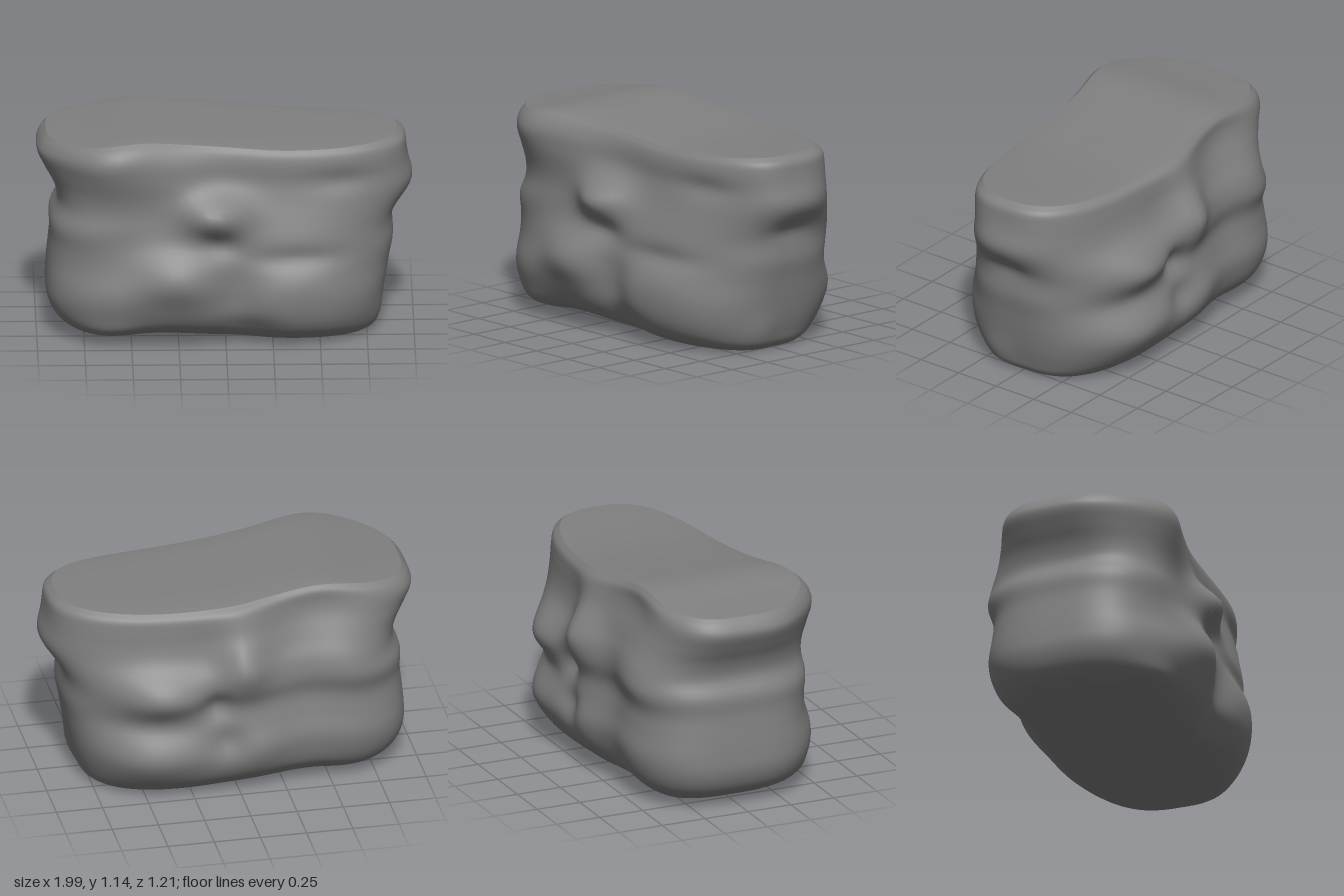
import * as THREE from 'three';

// Height profile: [v, left x, right x, front z, back z], v runs 0..1 up the wall
const PROFILE = [
  [0, 0.80, 0.75, 0.37, 0.41],
  [0.03, 0.87, 0.785, 0.44, 0.45],
  [0.08, 0.92, 0.805, 0.50, 0.50],
  [0.16, 0.95, 0.83, 0.54, 0.54],
  [0.25, 0.95, 0.85, 0.55, 0.56],
  [0.36, 0.94, 0.87, 0.52, 0.54],
  [0.46, 0.93, 0.89, 0.50, 0.52],
  [0.56, 0.93, 0.89, 0.48, 0.53],
  [0.65, 0.89, 0.92, 0.45, 0.51],
  [0.74, 0.91, 0.95, 0.42, 0.47],
  [0.83, 0.96, 0.96, 0.40, 0.45],
  [0.92, 1.00, 0.96, 0.40, 0.44],
  [0.97, 0.98, 0.95, 0.39, 0.43],
  [1, 0.95, 0.91, 0.37, 0.40],
];
// Uneven top and bottom: [x, y]
const TOP = [[-1, 1.1], [-0.75, 1.12], [-0.47, 1.15], [-0.2, 1.125], [0.05, 1.1], [0.3, 1.08], [0.6, 1.08], [1, 1.1]];
const BOTTOM = [[-1, 0.05], [-0.7, 0.025], [-0.4, 0.055], [0, 0.035], [0.3, 0.015], [0.8, -0.005]];

// Bulges (+) and hollows (-): [x, y, width, height, depth]
const FRONT_BUMPS = [
  [-0.26, 0.42, 0.22, 0.13, 0.08], [-0.62, 0.25, 0.22, 0.2, 0.03],
  [0.05, 0.28, 0.13, 0.16, -0.06], [0.42, 0.37, 0.25, 0.08, 0.02],
  [0.4, 0.5, 0.24, 0.05, -0.025], [-0.03, 0.58, 0.11, 0.06, -0.03],
  [-0.06, 0.75, 0.17, 0.11, 0.13], [-0.8, 0.66, 0.25, 0.18, 0.06],
  [0.62, 0.9, 0.16, 0.06, -0.02], [-0.64, 1.02, 0.3, 0.24, 0.175],
  [-0.25, 0.95, 0.2, 0.15, 0.04], [0.1, 0.1, 0.16, 0.08, -0.04],
  [0.85, 0.4, 0.2, 0.35, -0.05], [-0.62, 0.06, 0.25, 0.08, 0.05],
];
const BACK_BUMPS = [
  [0.45, 0.63, 0.22, 0.13, 0.09], [0.52, 0.25, 0.25, 0.15, 0.06],
  [-0.02, 0.8, 0.13, 0.16, 0.11], [0.13, 0.55, 0.08, 0.09, -0.06],
  [0.08, 0.33, 0.1, 0.09, -0.05], [-0.08, 0.25, 0.14, 0.14, 0.02],
  [-0.35, 0.45, 0.2, 0.4, -0.05], [-0.68, 0.76, 0.25, 0.2, 0.06],
  [-0.42, 1.05, 0.26, 0.14, -0.05], [0.02, 1.04, 0.2, 0.1, 0.025],
  [0.5, 0.44, 0.3, 0.06, -0.02],
];
// The same on the right end, with z in place of x
const END_BUMPS = [[0, 0.82, 0.25, 0.1, 0.04], [0, 0.67, 0.16, 0.05, -0.02], [0.15, 0.08, 0.12, 0.1, 0.02]];

// Smooth curve through one column of a table sorted by its first column
function sample(table, key, col = 1) {
  const last = table.length - 1;
  const k = THREE.MathUtils.clamp(key, table[0][0], table[last][0]);
  let i = 0;
  while (i < last - 1 && k > table[i + 1][0]) i++;
  const slope = (n) => {
    const a = table[Math.max(n - 1, 0)], b = table[Math.min(n + 1, last)];
    return (b[col] - a[col]) / (b[0] - a[0]);
  };
  const [a, b] = [table[i], table[i + 1]];
  const h = b[0] - a[0], t = (k - a[0]) / h, u = 1 - t;
  return a[col] * (1 + 2 * t) * u * u + b[col] * t * t * (3 - 2 * t)
    + h * t * u * (slope(i) * u - slope(i + 1) * t);
}

const relief = (bumps, x, y) => bumps.reduce((sum, [bx, by, w, h, d]) =>
  sum + d * Math.exp(-(((x - bx) / w) ** 2) - ((y - by) / h) ** 2), 0);

// Point on the wall at height v and angle a; scale < 1 moves it into a cap
function rockPoint(v, a, scale) {
  const c = Math.cos(a), s = Math.sin(a);
  const n = c < 0 ? 3.3 : 2.8; // the left end is squarer
  const r = (Math.abs(c) ** n + Math.abs(s) ** n) ** (-1 / n);
  const px = c * r, pz = s * r;
  let x = px * sample(PROFILE, v, c < 0 ? 1 : 2);
  const y = THREE.MathUtils.lerp(sample(BOTTOM, x), sample(TOP, x), v);
  const z = pz * (sample(PROFILE, v, s > 0 ? 3 : 4) + relief(s > 0 ? FRONT_BUMPS : BACK_BUMPS, x, y));
  if (c > 0) x += px ** 3 * relief(END_BUMPS, z, y);
  x *= scale;
  // Caps are slightly domed so they roll into the wall
  const dome = 0.01 * scale ** 5;
  return [x, THREE.MathUtils.lerp(sample(BOTTOM, x) + dome, sample(TOP, x) - dome, v), z * scale];
}

function rockGeometry() {
  const around = 128, wall = 60, cap = 12, rings = [];
  for (let i = 0; i < cap; i++) rings.push([0, Math.sqrt(i / cap)]); // underside
  for (let i = 0; i <= wall; i++) rings.push([0.5 - 0.5 * Math.cos(Math.PI * i / wall), 1]); // wall
  for (let i = cap - 1; i >= 0; i--) rings.push([1, Math.sqrt(i / cap)]); // top
  const positions = [], index = [];
  for (const [v, scale] of rings) {
    for (let j = 0; j < around; j++) positions.push(...rockPoint(v, (j / around) * Math.PI * 2, scale));
  }
  for (let i = 0; i < rings.length - 1; i++) {
    for (let j = 0; j < around; j++) {
      const a = i * around + j, b = i * around + (j + 1) % around;
      const d = a + around, e = b + around;
      if (i < rings.length - 2) index.push(a, d, e);
      else index.push(a, d, b);
      if (i > 0 && i < rings.length - 2) index.push(a, e, b);
    }
  }
  const geometry = new THREE.BufferGeometry();
  geometry.setAttribute('position', new THREE.Float32BufferAttribute(positions, 3));
  geometry.setIndex(index);
  geometry.computeVertexNormals();
  return geometry;
}

export function createModel() {
  const group = new THREE.Group();
  group.name = 'boulder';
  const rock = new THREE.Mesh(rockGeometry(), new THREE.MeshStandardMaterial({ color: 0x808080 }));
  rock.name = 'rock';
  group.add(rock);
  return group;
}
